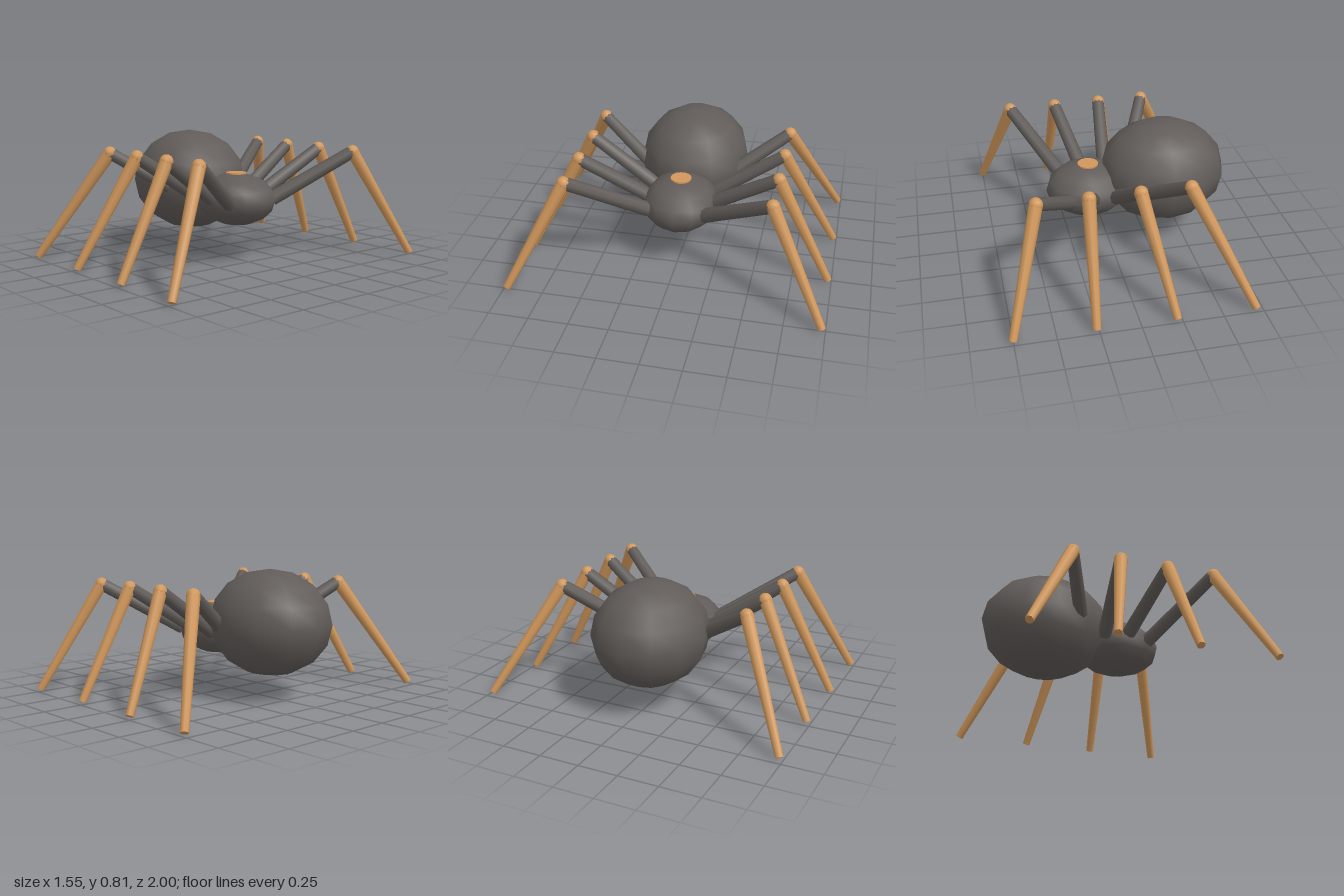
import * as THREE from 'three';

const dark = new THREE.MeshStandardMaterial({ color: 0x615c59, name: 'charcoal' });
const tan = new THREE.MeshStandardMaterial({ color: 0xd0975b, name: 'tan' });

function add(parent, name, geometry, material) {
  const mesh = new THREE.Mesh(geometry, material);
  mesh.name = name;
  parent.add(mesh);
  return mesh;
}

// Low-sided ellipsoid for the body sections
function ellipsoid(parent, name, center, radii) {
  const mesh = add(parent, name, new THREE.SphereGeometry(1, 12, 8), dark);
  mesh.position.set(...center);
  mesh.scale.set(...radii);
}

// Tapered rod between two points
function rod(parent, name, from, to, r0, r1, material) {
  const dir = to.clone().sub(from);
  const mesh = add(parent, name, new THREE.CylinderGeometry(r1, r0, dir.length(), 8), material);
  mesh.position.copy(from).add(to).multiplyScalar(0.5);
  mesh.quaternion.setFromUnitVectors(new THREE.Vector3(0, 1, 0), dir.normalize());
}

export function createModel() {
  const spider = new THREE.Group();
  spider.name = 'spider';

  // Body, with the head toward +x
  ellipsoid(spider, 'abdomen', [-0.365, 0.476, 0], [0.413, 0.333, 0.36]);
  ellipsoid(spider, 'thorax', [0.125, 0.393, 0], [0.275, 0.167, 0.24]);

  // Round spot on the thorax
  const spot = add(spider, 'backSpot', new THREE.CylinderGeometry(0.066, 0.066, 0.009, 20), tan);
  spot.position.set(0.125, 0.561, 0);

  // Four legs per side: x of hip, knee and foot
  const legs = [
    [-0.16, -0.375, -0.708],
    [-0.02, -0.07, -0.22],
    [0.125, 0.238, 0.265],
    [0.27, 0.545, 0.752],
  ];
  for (const side of [-1, 1]) {
    for (const [hipX, kneeX, footX] of legs) {
      const leg = new THREE.Group();
      leg.name = 'leg';
      const hip = new THREE.Vector3(hipX, 0.395, side * 0.18);
      const knee = new THREE.Vector3(kneeX, 0.69, side * 0.63);
      const foot = new THREE.Vector3(footX, 0.014, side * 0.978);
      rod(leg, 'upperLeg', hip, knee, 0.047, 0.041, dark);
      rod(leg, 'lowerLeg', knee, foot, 0.042, 0.025, tan);
      const joint = add(leg, 'knee', new THREE.SphereGeometry(0.043, 10, 8), tan);
      joint.position.copy(knee);
      spider.add(leg);
    }
  }
  return spider;
}
